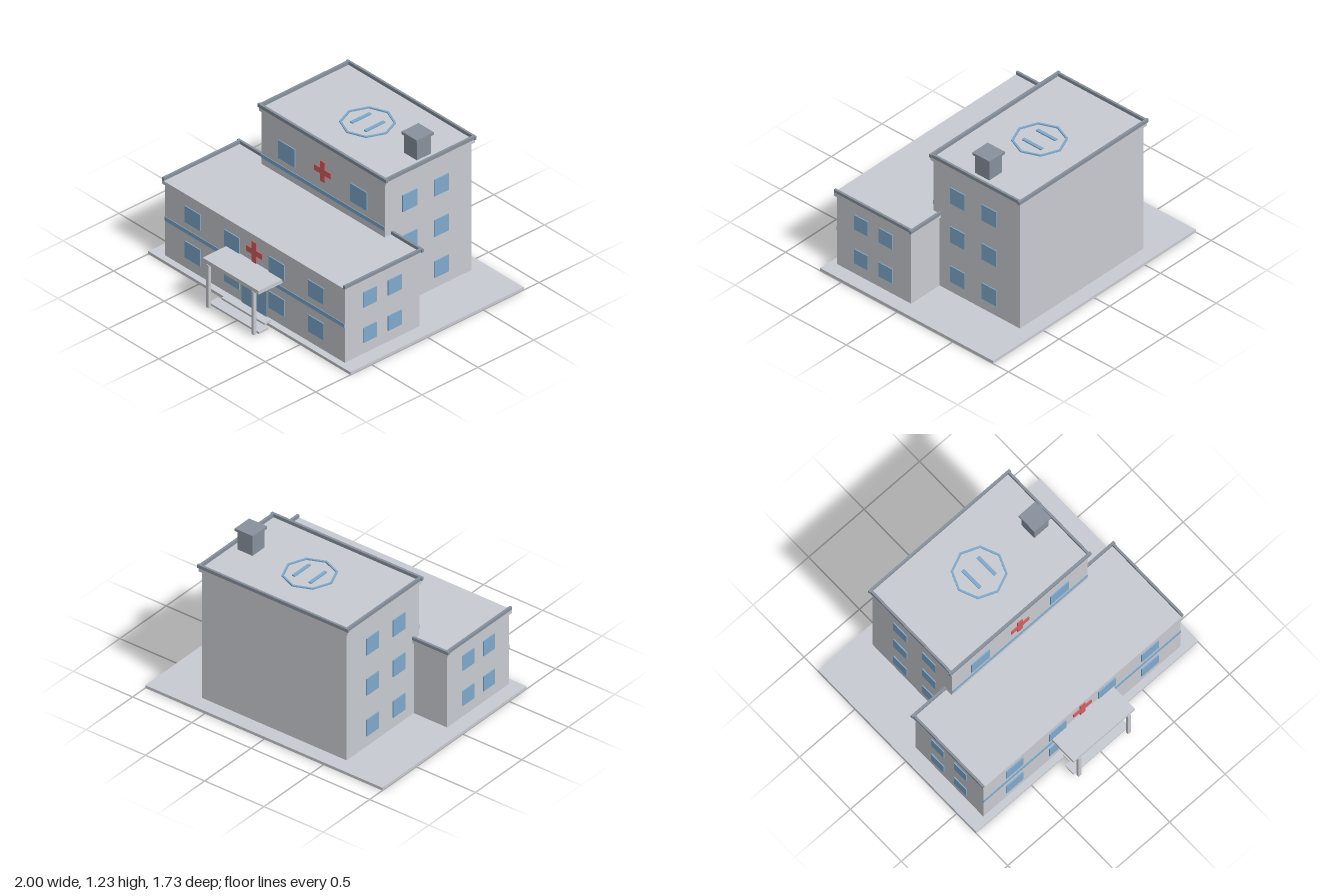
import * as THREE from 'three';

const mat = (name, color) => {
  const m = new THREE.MeshStandardMaterial({ color });
  m.name = name;
  return m;
};

export function createModel() {
  const wall = mat('paleGrey', 0xc8cbd1);
  const blue = mat('glassBlue', 0x7fa9cd);
  const dark = mat('slateGrey', 0x87919d);
  const red = mat('red', 0xd45f62);
  const model = new THREE.Group();
  model.name = 'clinicBuilding';

  const add = (name, geometry, material) => {
    const mesh = new THREE.Mesh(geometry, material);
    mesh.name = name;
    model.add(mesh);
    return mesh;
  };
  // Box given by its limits along each axis
  const box = (name, m, x0, x1, y0, y1, z0, z1) => {
    const g = new THREE.BoxGeometry(x1 - x0, y1 - y0, z1 - z0);
    return add(name, g.translate((x0 + x1) / 2, (y0 + y1) / 2, (z0 + z1) / 2), m);
  };
  // The same box on both sides of the model
  const pair = (name, m, x0, x1, ...rest) => {
    box(name + 'Left', m, x0, x1, ...rest);
    box(name + 'Right', m, -x1, -x0, ...rest);
  };

  const T = 0.008; // thickness of applied details
  const frontLow = 0.64, frontHigh = 0.028;

  // Ground slab and the two blocks
  box('groundSlab', wall, -1, 1, 0, 0.022, -0.863, 0.69);
  box('frontBlock', wall, -0.89, 0.89, 0.022, 0.59, -0.027, frontLow);
  box('frontCornice', wall, -0.905, 0.905, 0.585, 0.613, -0.04, 0.652);
  box('rearBlock', wall, -0.61, 0.61, 0.022, 1.035, -0.75, frontHigh);
  box('rearCornice', wall, -0.627, 0.627, 1.03, 1.057, -0.765, 0.037);

  // Roof edging: the front block is open towards the front
  pair('frontRoofEdgeSide', dark, 0.888, 0.905, 0.613, 0.637, -0.03, 0.652);
  pair('frontRoofEdgeBack', dark, 0.61, 0.914, 0.613, 0.637, -0.046, -0.028);
  pair('rearRoofEdgeSide', dark, 0.612, 0.629, 1.057, 1.083, -0.755, 0.022);
  box('rearRoofEdgeFront', dark, -0.637, 0.637, 1.057, 1.083, 0.022, 0.041);
  box('rearRoofEdgeBack', dark, -0.637, 0.637, 1.057, 1.083, -0.769, -0.752);

  // Roof vent
  box('ventBody', dark, 0.435, 0.562, 1.057, 1.205, -0.43, -0.302);
  box('ventCap', dark, 0.423, 0.575, 1.205, 1.225, -0.443, -0.289);

  // Blue stripes
  box('frontStripe', blue, -0.89, 0.89, 0.298, 0.33, frontLow, frontLow + 0.005);
  box('rearStripe', blue, -0.61, 0.61, 0.665, 0.695, frontHigh, frontHigh + 0.005);

  // Front windows
  for (const [y0, y1] of [[0.105, 0.235], [0.385, 0.512]])
    for (const x of [0.222, 0.61])
      pair('frontWindow', blue, x - 0.076, x + 0.076, y0, y1, frontLow, frontLow + T);
  pair('upperFrontWindow', blue, 0.273, 0.439, 0.745, 0.887, frontHigh, frontHigh + T);

  // Side windows
  for (const [y0, y1] of [[0.111, 0.227], [0.39, 0.508]])
    for (const z of [0.197, 0.419])
      pair('sideWindow', blue, 0.89, 0.89 + T, y0, y1, z - 0.06, z + 0.06);
  for (const y of [0.171, 0.495, 0.815])
    for (const z of [-0.192, -0.475])
      pair('rearSideWindow', blue, 0.61, 0.61 + T, y - 0.065, y + 0.065, z - 0.065, z + 0.065);

  // Red crosses
  const plus = (name, y, z) => {
    const a = 0.08, b = 0.022, s = new THREE.Shape();
    s.setFromPoints([[-b, -a], [b, -a], [b, -b], [a, -b], [a, b], [b, b], [b, a], [-b, a],
      [-b, b], [-a, b], [-a, -b], [-b, -b]].map(p => new THREE.Vector2(...p)));
    const g = new THREE.ExtrudeGeometry(s, { depth: T + 0.001, bevelEnabled: false });
    add(name, g.translate(0, y, z), red);
  };
  plus('frontCross', 0.472, frontLow);
  plus('upperCross', 0.845, frontHigh);

  // Double door with clipped outer top corners
  for (const s of [1, -1]) {
    const pts = [[0.02, 0.022], [0.122, 0.022], [0.122, 0.275], [0.105, 0.292], [0.02, 0.292]];
    const shape = new THREE.Shape(pts.map(([x, y]) => new THREE.Vector2(s * x, y)));
    const g = new THREE.ExtrudeGeometry(shape, { depth: T, bevelEnabled: false });
    add(s > 0 ? 'doorLeft' : 'doorRight', g.translate(0, 0, frontLow), blue);
  }

  // Entrance canopy, posts and steps
  box('canopy', wall, -0.276, 0.276, 0.36, 0.39, frontLow, 0.858);
  pair('canopyPost', wall, 0.211, 0.235, 0.022, 0.36, 0.84, 0.863);
  box('lowerStep', wall, -0.25, 0.25, 0.026, 0.04, 0.745, 0.83);
  box('upperStep', wall, -0.213, 0.213, 0.043, 0.057, 0.687, 0.747);

  // Landing pad: octagonal ring with two parallel bars
  const octagon = r => Array.from({ length: 8 }, (_, i) =>
    new THREE.Vector2(r * Math.cos(i * Math.PI / 4), r * Math.sin(i * Math.PI / 4)));
  const ring = new THREE.Shape(octagon(0.189));
  ring.holes.push(new THREE.Path(octagon(0.174).reverse()));
  const ringGeo = new THREE.ExtrudeGeometry(ring, { depth: 0.009, bevelEnabled: false });
  add('padRing', ringGeo.rotateX(-Math.PI / 2).translate(0, 1.057, -0.37), blue);
  pair('padBar', blue, 0.057, 0.081, 1.057, 1.066, -0.456, -0.285);

  return model;
}
